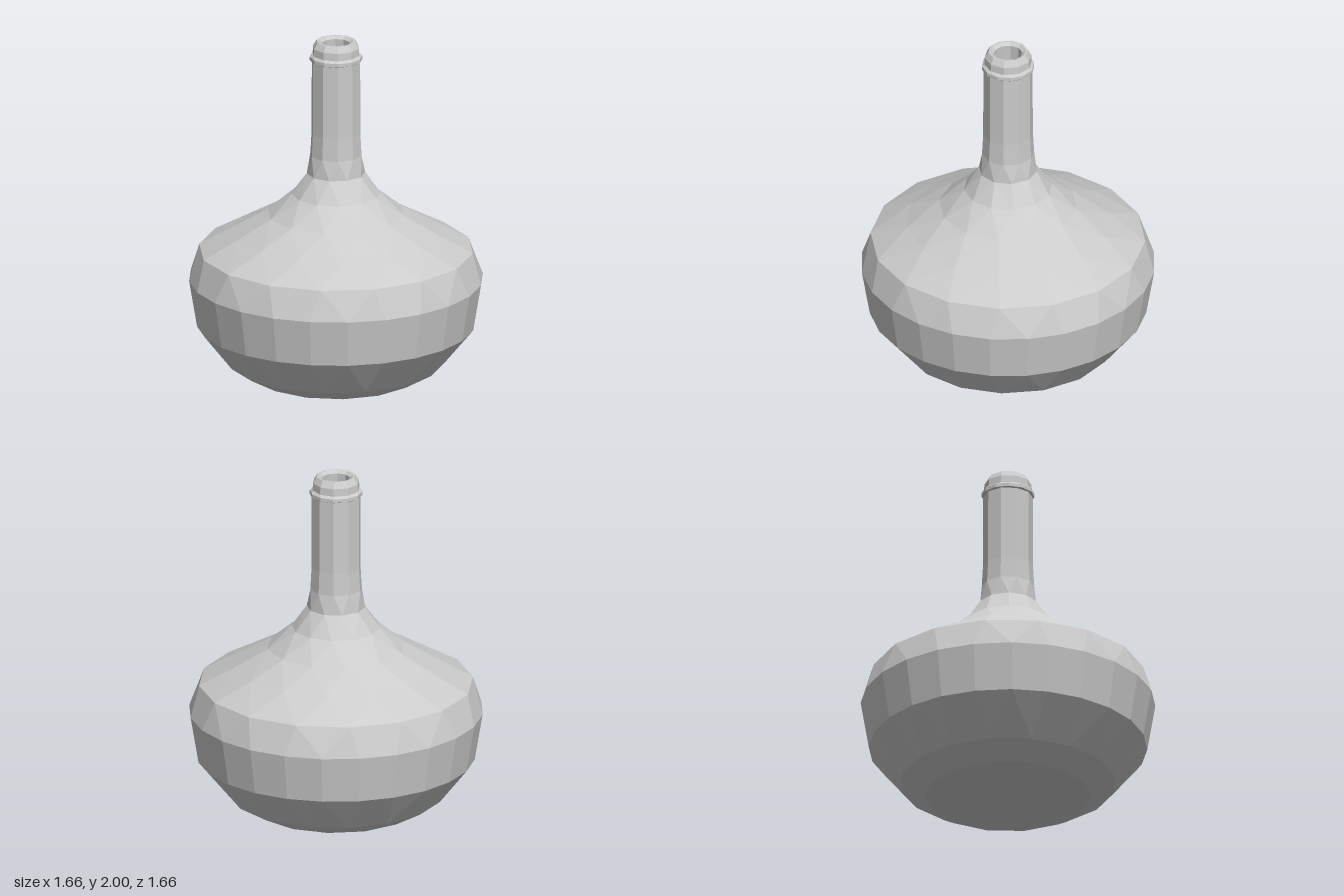
import * as THREE from 'three';

const material = new THREE.MeshStandardMaterial({ color: 0xcccccc, flatShading: true });

// Point k on a ring [radius, height, sides, phase]
function ringPoint([r, y, n, phase = 0], k) {
  const a = ((k + phase) / n) * Math.PI * 2;
  return [r * Math.sin(a), y, r * Math.cos(a)];
}

// Skins a stack of rings whose side counts may differ
function loft(name, rings) {
  const pos = [];
  for (let s = 0; s < rings.length - 1; s++) {
    const A = rings[s], B = rings[s + 1];
    let i = 0, j = 0;
    while (i < A[2] || j < B[2]) {
      const nextA = (i + 1 + (A[3] || 0)) / A[2];
      const nextB = (j + 1 + (B[3] || 0)) / B[2];
      const stepA = j >= B[2] || (i < A[2] && nextA <= nextB);
      const a = ringPoint(A, i), b = ringPoint(B, j);
      if (stepA) {
        if (A[0] > 0) pos.push(...a, ...ringPoint(A, i + 1), ...b);
        i++;
      } else {
        if (B[0] > 0) pos.push(...a, ...ringPoint(B, j + 1), ...b);
        j++;
      }
    }
  }
  const geometry = new THREE.BufferGeometry();
  geometry.setAttribute('position', new THREE.Float32BufferAttribute(pos, 3));
  geometry.computeVertexNormals();
  const mesh = new THREE.Mesh(geometry, material);
  mesh.name = name;
  return mesh;
}

export function createModel() {
  const group = new THREE.Group();
  group.name = 'bottle';

  // Squat round body, from the base centre up to the shoulder
  const shoulder = [0.165, 1.22, 10, 0.5];
  group.add(loft('body', [
    [0, 0, 1], [0.47, 0.03, 14], [0.61, 0.11, 16, 0.5], [0.785, 0.33, 24],
    [0.83, 0.6, 24], [0.775, 0.77, 16, 0.5], [0.575, 0.88, 14],
    [0.39, 0.985, 12, 0.5], [0.25, 1.1, 12], shoulder,
  ]));

  // Slender neck
  const neckTop = [0.14, 1.885, 10];
  group.add(loft('neck', [shoulder, [0.148, 1.33, 10], [0.141, 1.46, 10], neckTop]));

  // Raised collar and rounded mouth
  const mouth = [0.08, 1.985, 10];
  group.add(loft('lip', [
    neckTop, [0.149, 1.89, 12], [0.149, 1.91, 12], [0.135, 1.922, 10],
    [0.133, 1.965, 10], [0.112, 2, 10], [0.1, 2, 10], mouth,
  ]));

  // Hollow inside, from the mouth down to the floor
  group.add(loft('interior', [
    mouth, [0.085, 1.9, 10], [0.1, 1.3, 10], [0.19, 1.08, 10], [0.5, 0.85, 12],
    [0.76, 0.6, 16], [0.7, 0.33, 16], [0.5, 0.1, 12], [0, 0.06, 1],
  ]));

  return group;
}
